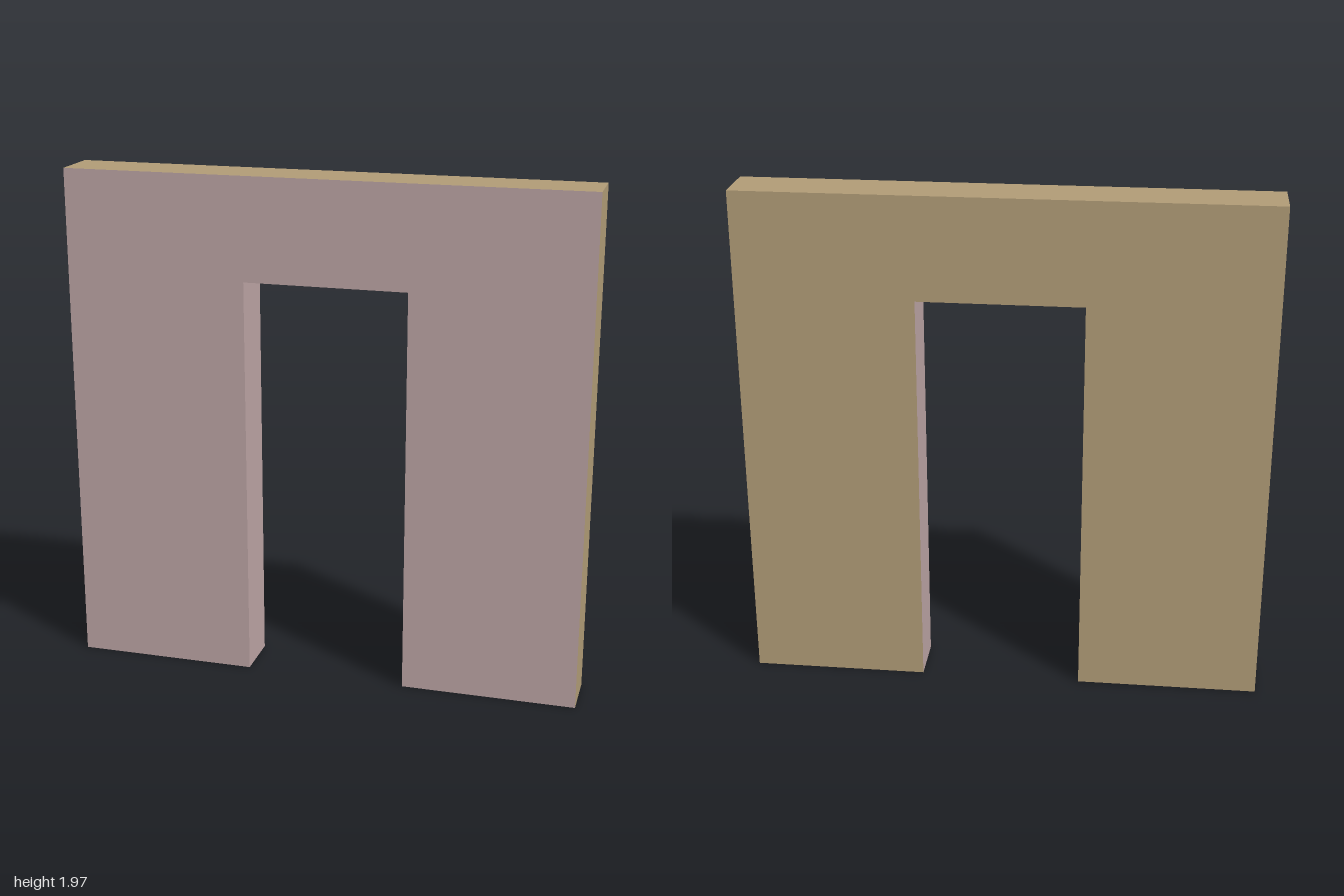
import * as THREE from 'three';

const HALF = 0.1; // half the wall thickness

// Wall outline with its doorway, counter-clockwise seen from the front
const OUTLINE = [
  [-1, 0], [-0.3, 0], [-0.3, 1.575], [0.325, 1.575],
  [0.325, 0], [1, 0], [1, 1.97], [-1, 1.97],
].map(([x, y]) => new THREE.Vector2(x, y));

// Flat wall face at z = HALF; mirror = -1 swaps left and right
function wallFace(mirror) {
  const points = OUTLINE.map((p) => new THREE.Vector2(p.x * mirror, p.y));
  return new THREE.ShapeGeometry(new THREE.Shape(points)).translate(0, 0, HALF);
}

// Strips running through the thickness along the given outline edges
function edgeStrips(edges) {
  const positions = [];
  for (const i of edges) {
    const a = OUTLINE[i];
    const b = OUTLINE[(i + 1) % OUTLINE.length];
    const aF = [a.x, a.y, HALF], aB = [a.x, a.y, -HALF];
    const bF = [b.x, b.y, HALF], bB = [b.x, b.y, -HALF];
    positions.push(...aF, ...aB, ...bB, ...aF, ...bB, ...bF);
  }
  const geometry = new THREE.BufferGeometry();
  geometry.setAttribute('position', new THREE.Float32BufferAttribute(positions, 3));
  geometry.computeVertexNormals();
  return geometry;
}

export function createModel() {
  const group = new THREE.Group();
  group.name = 'doorwayWall';

  const pink = new THREE.MeshStandardMaterial({ color: 0xbca4a4 });
  const tan = new THREE.MeshStandardMaterial({ color: 0xb09b76 });

  const add = (name, geometry, material) => {
    const mesh = new THREE.Mesh(geometry, material);
    mesh.name = name;
    group.add(mesh);
  };

  // Painted inner side: front face, door jambs and lintel underside
  add('frontFace', wallFace(1), pink);
  add('doorwayLining', edgeStrips([1, 2, 3]), pink);

  // Outer side: back face, ends, top and feet
  add('backFace', wallFace(-1).rotateY(Math.PI), tan);
  add('outerEdges', edgeStrips([0, 4, 5, 6, 7]), tan);

  return group;
}
